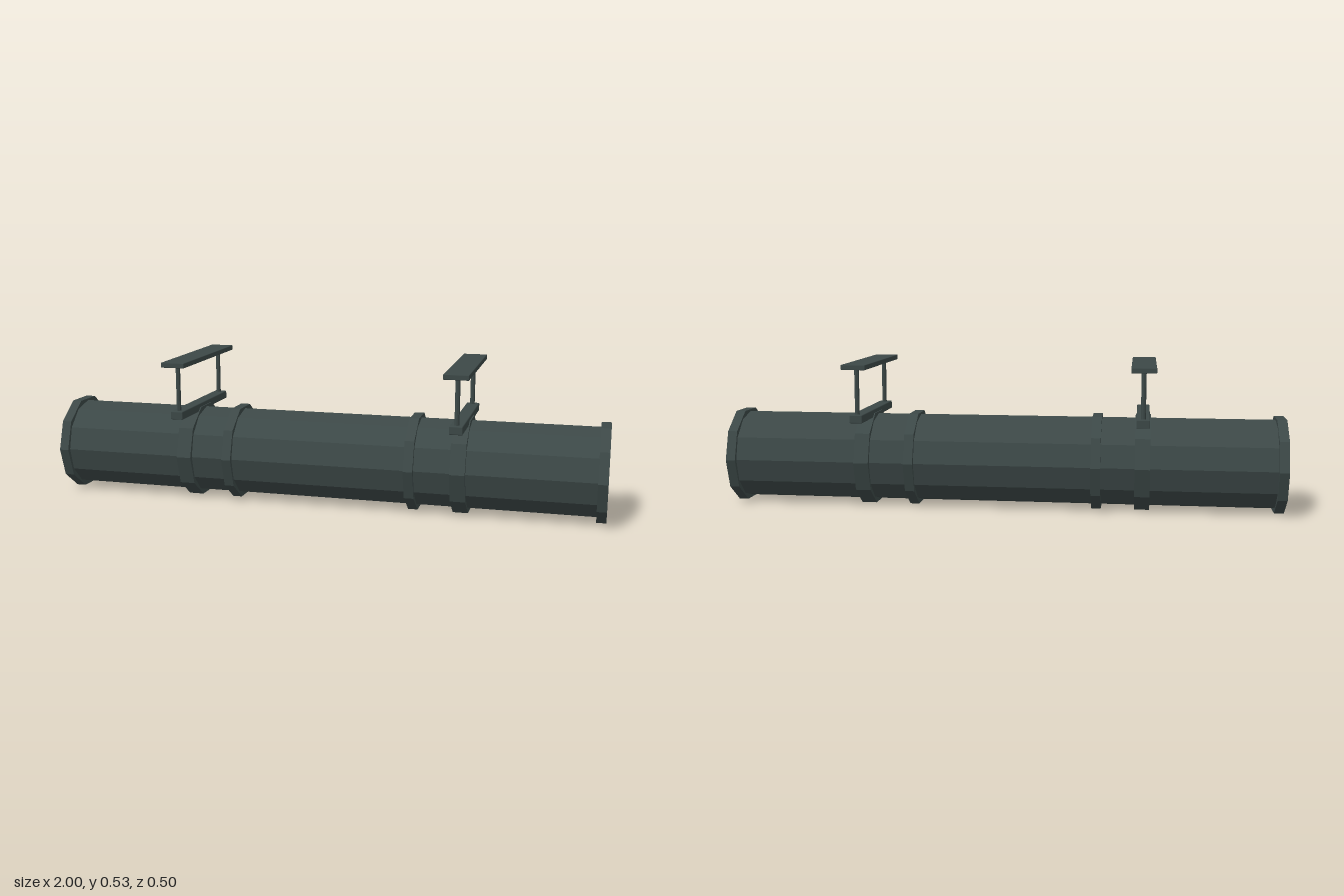
import * as THREE from 'three';
import { RoundedBoxGeometry } from 'three/addons/geometries/RoundedBoxGeometry.js';

const AXIS_Y = 0.167;

function polygon(target, radius, sides) {
  const pts = [];
  for (let i = 0; i < sides; i++) {
    const a = (i / sides) * Math.PI * 2;
    pts.push(new THREE.Vector2(Math.cos(a) * radius, Math.sin(a) * radius));
  }
  return target.setFromPoints(pts);
}

// Faceted hollow ring running along x, centred on its own origin
function ringGeometry(outer, inner, sides, length) {
  const shape = polygon(new THREE.Shape(), outer, sides);
  shape.holes.push(polygon(new THREE.Path(), inner, sides));
  const geo = new THREE.ExtrudeGeometry(shape, { depth: length, bevelEnabled: false });
  return geo.translate(0, 0, -length / 2).rotateY(Math.PI / 2);
}

export function createModel() {
  const model = new THREE.Group();
  model.name = 'pipeWithBrackets';
  const metal = new THREE.MeshStandardMaterial({ color: 0x3c4847 });
  metal.name = 'darkGreyGreenMetal';

  const add = (parent, name, geometry, x, y, z) => {
    const mesh = new THREE.Mesh(geometry, metal);
    mesh.name = name;
    mesh.position.set(x, y, z);
    parent.add(mesh);
  };

  // Hollow twelve-sided pipe
  add(model, 'pipe', ringGeometry(0.16, 0.149, 12, 1.994), 0, AXIS_Y, 0);

  // Ten-sided collars at the ends and near the middle
  const collar = ringGeometry(0.175, 0.152, 10, 0.034);
  for (const x of [-0.983, -0.339, 0.327, 0.983]) add(model, 'collar', collar, x, AXIS_Y, 0);

  // Hanger brackets: clamp, cross bar, two posts and a top plate
  const clamp = ringGeometry(0.175, 0.152, 10, 0.054);
  const bar = new RoundedBoxGeometry(0.046, 0.029, 0.45, 1, 0.003);
  const plate = new RoundedBoxGeometry(0.086, 0.018, 0.5, 1, 0.002);
  const post = new THREE.CylinderGeometry(0.0085, 0.0085, 0.17, 8).toNonIndexed();
  post.computeVertexNormals();
  for (const x of [-0.502, 0.498]) {
    const bracket = new THREE.Group();
    bracket.name = 'bracket';
    bracket.position.x = x;
    add(bracket, 'clamp', clamp, 0, AXIS_Y, 0);
    add(bracket, 'crossBar', bar, 0, 0.333, 0);
    add(bracket, 'topPlate', plate, 0, 0.517, 0);
    for (const z of [-0.2, 0.2]) add(bracket, 'post', post, 0, 0.428, z);
    model.add(bracket);
  }
  return model;
}
